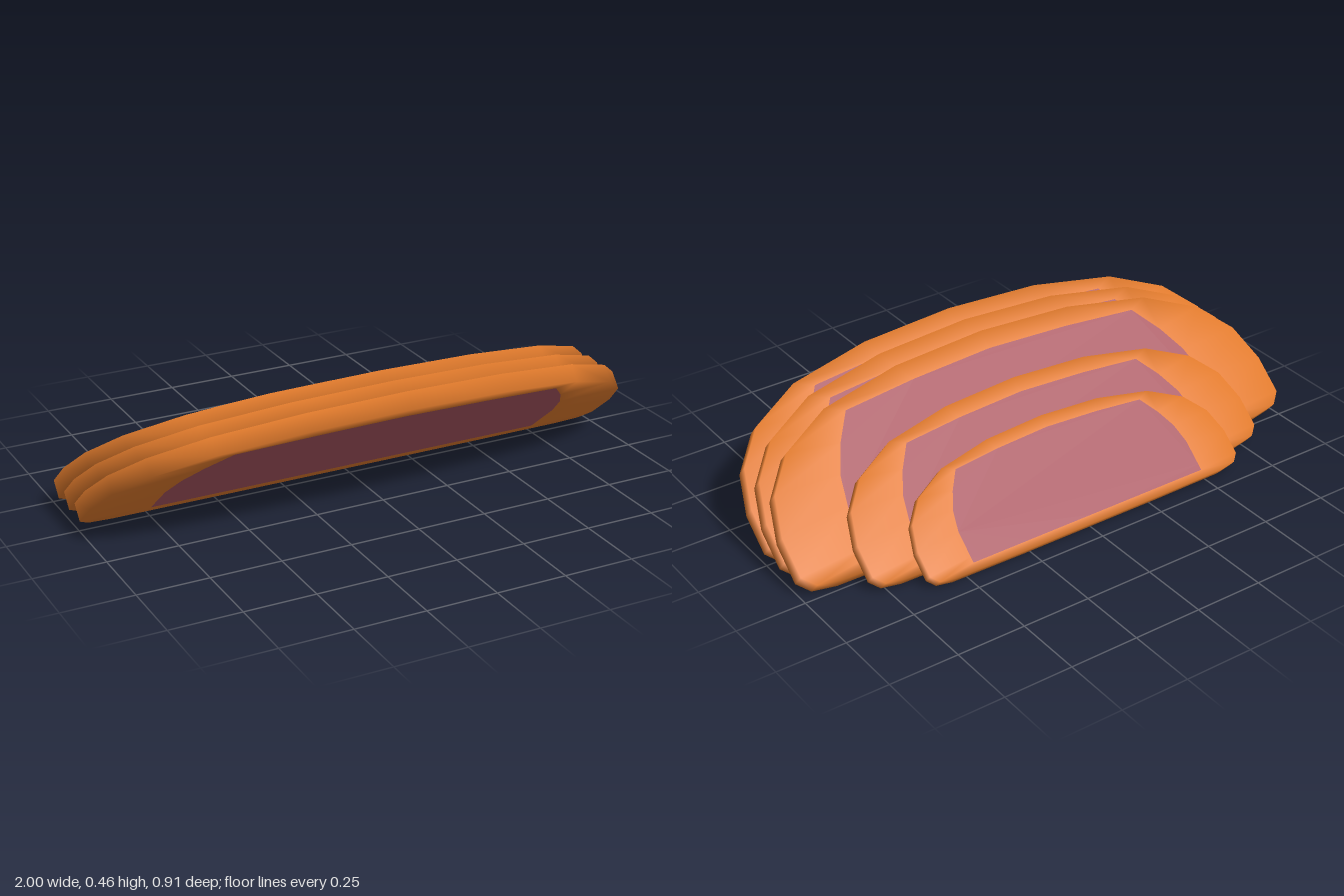
import * as THREE from 'three';

const THICKNESS = 0.0643;
const TILT = THREE.MathUtils.degToRad(50);

// Right half of the slice outline and of its meat area, from top centre to bottom centre
const OUTER = [[0, 0.639], [0.36, 0.62], [0.67, 0.56], [0.86, 0.46], [0.96, 0.34], [1, 0.2],
  [1, 0.06], [0.96, 0.018], [0.87, 0.004], [0.45, 0], [0, 0]];
const INNER = [[0, 0.57], [0.32, 0.555], [0.6, 0.53], [0.67, 0.43], [0.72, 0.33], [0.745, 0.22],
  [0.745, 0.08], [0.745, 0.045], [0.68, 0.045], [0.4, 0.045], [0, 0.045]];

// Mirror a half outline into a closed loop
function mirrorLoop(half) {
  return [...half, ...half.slice(1, -1).reverse().map(([x, y]) => [-x, y])];
}

// Smooth rind: front ring, edge and back ring in one band
function rindGeometry(outer, inner) {
  const sections = [[inner, 0], [outer, 0], [outer, -THICKNESS], [inner, -THICKNESS]];
  const n = outer.length;
  const positions = [];
  const index = [];
  sections.forEach(([loop, z]) => loop.forEach(([x, y]) => positions.push(x, y, z)));
  for (let s = 0; s < 3; s++) {
    for (let i = 0; i < n; i++) {
      const j = (i + 1) % n;
      const a = s * n + i, b = s * n + j, c = a + n, d = b + n;
      index.push(a, b, c, b, d, c);
    }
  }
  const geometry = new THREE.BufferGeometry();
  geometry.setAttribute('position', new THREE.Float32BufferAttribute(positions, 3));
  geometry.setIndex(index);
  geometry.computeVertexNormals();
  return geometry;
}

export function createModel() {
  const model = new THREE.Group();
  model.name = 'slicedMeat';
  const rindMaterial = new THREE.MeshStandardMaterial({ color: 0xe07a2c });
  const meatMaterial = new THREE.MeshStandardMaterial({ color: 0xa8555f });

  const outer = mirrorLoop(OUTER);
  const inner = mirrorLoop(INNER);
  const rind = rindGeometry(outer, inner);
  const frontMeat = new THREE.ShapeGeometry(
    new THREE.Shape(inner.map(([x, y]) => new THREE.Vector2(x, y))));
  const backMeat = frontMeat.clone().rotateY(Math.PI).translate(0, 0, -THICKNESS);

  // Leaning slices: z of the lower front edge, and size
  const slices = [[-0.035, 1], [-0.135, 1], [-0.235, 1], [-0.343, 0.8], [-0.43, 0.64]];
  slices.forEach(([z, size], i) => {
    const slice = new THREE.Group();
    slice.name = `slice${i + 1}`;
    const parts = [['rind', rind, rindMaterial], ['frontMeat', frontMeat, meatMaterial],
      ['backMeat', backMeat, meatMaterial]];
    for (const [name, geometry, material] of parts) {
      const mesh = new THREE.Mesh(geometry, material);
      mesh.name = name;
      slice.add(mesh);
    }
    slice.rotation.x = TILT;
    slice.scale.setScalar(size);
    slice.position.z = z;
    model.add(slice);
  });
  return model;
}
